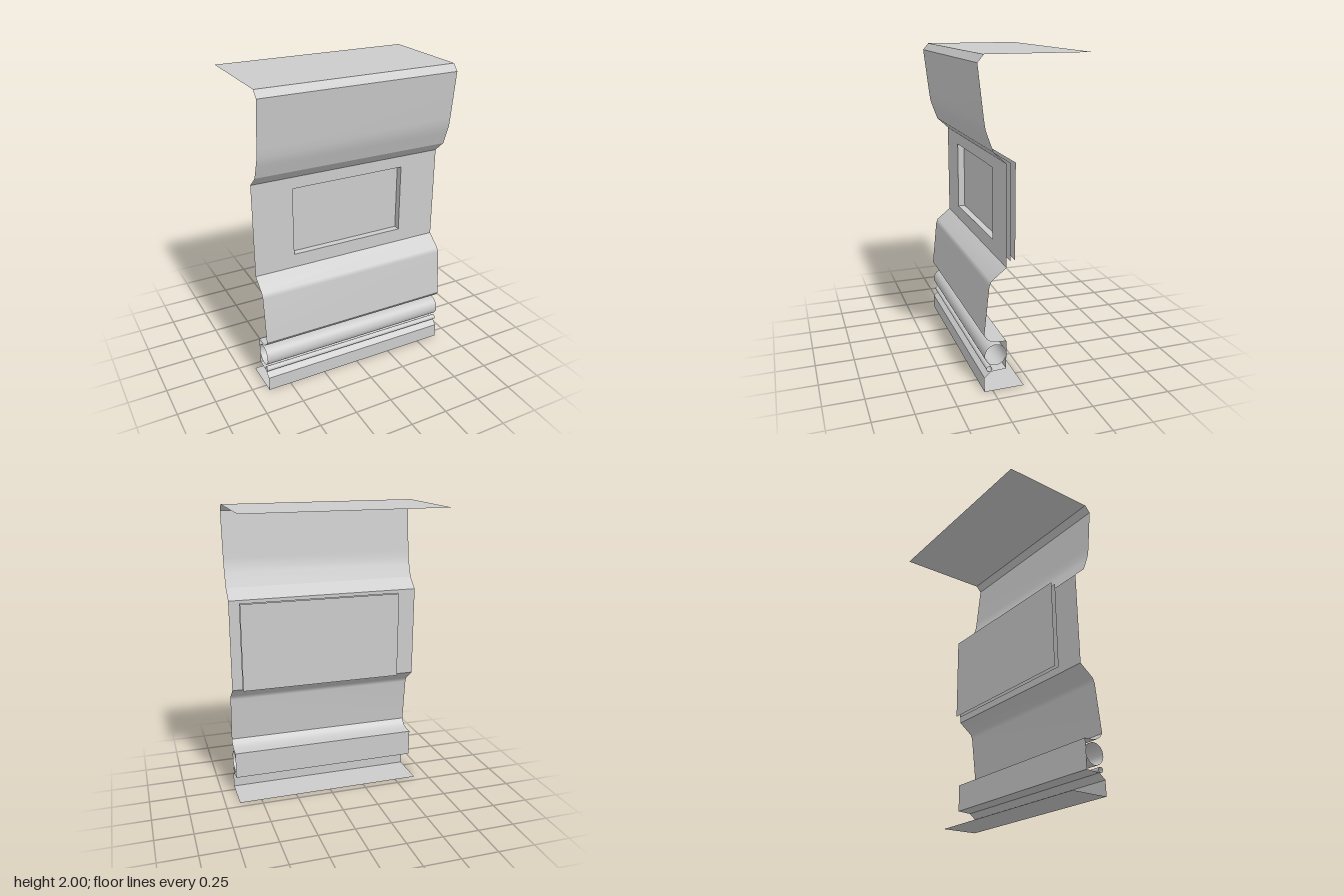
import * as THREE from 'three';

const HALF = 0.652; // half width of the cabinet face
const material = new THREE.MeshStandardMaterial({ color: 0xcccccc, side: THREE.DoubleSide });

// Sheet swept along x from a [z, y] profile listed from top to bottom; smooth within one profile
function sheet(name, profile) {
  const positions = [], index = [];
  profile.forEach(([z, y], i) => {
    positions.push(-HALF, y, z, HALF, y, z);
    if (i) {
      const a = 2 * (i - 1);
      index.push(a, a + 2, a + 1, a + 1, a + 2, a + 3);
    }
  });
  const geometry = new THREE.BufferGeometry();
  geometry.setAttribute('position', new THREE.Float32BufferAttribute(positions, 3));
  geometry.setIndex(index);
  geometry.computeVertexNormals();
  const mesh = new THREE.Mesh(geometry, material);
  mesh.name = name;
  return mesh;
}

// Hollow, open-ended tube across the full width
function tube(name, radius, y, z) {
  const mesh = new THREE.Mesh(new THREE.CylinderGeometry(radius, radius, 2 * HALF, 40, 1, true), material);
  mesh.rotation.z = Math.PI / 2;
  mesh.position.set(0, y, z);
  mesh.name = name;
  return mesh;
}

// Flat upright rectangle facing the front
function plate(name, x0, x1, y0, y1, z) {
  const mesh = new THREE.Mesh(new THREE.PlaneGeometry(x1 - x0, y1 - y0), material);
  mesh.position.set((x0 + x1) / 2, (y0 + y1) / 2, z);
  mesh.name = name;
  return mesh;
}

export function createModel() {
  const group = new THREE.Group();
  group.name = 'cabinetFront';

  // Folded sheets from the top down
  const sheets = {
    topPlate: [[-0.337, 2], [0.295, 2]],
    topBevel: [[0.295, 2], [0.332, 1.957]],
    upperPanel: [[0.332, 1.957], [0.298, 1.66], [0.289, 1.6], [0.272, 1.55], [0.242, 1.47]],
    upperSoffit: [[0.242, 1.47], [0.165, 1.4]],
    lowerPanel: [[0.165, 0.785], [0.258, 0.71], [0.27, 0.68], [0.303, 0.37]],
    lowerSoffit: [[0.303, 0.37], [0.285, 0.345], [0.258, 0.327], [0.22, 0.32], [0.165, 0.318]],
    tubeRecessWall: [[0.165, 0.318], [0.165, 0.135]],
    tubeShelf: [[0.165, 0.135], [0.26, 0.13]],
    kickBevel: [[0.26, 0.13], [0.303, 0.095]],
    kickPlate: [[0.303, 0.095], [0.303, 0]],
    bottomFlange: [[0.303, 0], [0.05, 0]],
  };
  for (const [name, profile] of Object.entries(sheets)) group.add(sheet(name, profile));

  // Middle wall with the screen opening
  const W = 0.386, Y0 = 0.875, Y1 = 1.325, wallZ = 0.165, screenZ = 0.12;
  const wall = new THREE.Shape([[-HALF, 0.785], [HALF, 0.785], [HALF, 1.4], [-HALF, 1.4]]
    .map(([x, y]) => new THREE.Vector2(x, y)));
  wall.holes.push(new THREE.Path([[-W, Y0], [-W, Y1], [W, Y1], [W, Y0]]
    .map(([x, y]) => new THREE.Vector2(x, y))));
  const wallMesh = new THREE.Mesh(new THREE.ShapeGeometry(wall), material);
  wallMesh.position.z = wallZ;
  wallMesh.name = 'screenWall';
  group.add(wallMesh);

  // Reveal around the opening
  const reveal = new THREE.Group();
  reveal.name = 'screenReveal';
  const depth = wallZ - screenZ, midY = (Y0 + Y1) / 2, midZ = (wallZ + screenZ) / 2;
  for (const s of [-1, 1]) {
    const side = new THREE.Mesh(new THREE.PlaneGeometry(depth, Y1 - Y0), material);
    side.rotation.y = -s * Math.PI / 2;
    side.position.set(s * W, midY, midZ);
    side.name = 'revealSide';
    const edge = new THREE.Mesh(new THREE.PlaneGeometry(2 * W, depth), material);
    edge.rotation.x = s * Math.PI / 2;
    edge.position.set(0, midY + s * (Y1 - Y0) / 2, midZ);
    edge.name = 'revealEdge';
    reveal.add(side, edge);
  }
  group.add(reveal);

  // Screen and the backing sheet behind it
  group.add(plate('screen', -0.505, 0.59, 0.8, 1.39, screenZ));
  group.add(plate('screenBacking', -0.505, 0.59, 0.8, 1.39, 0.09));

  // Rails in the lower recess
  group.add(tube('largeTube', 0.067, 0.236, 0.232));
  group.add(tube('smallTube', 0.017, 0.149, 0.272));

  return group;
}
